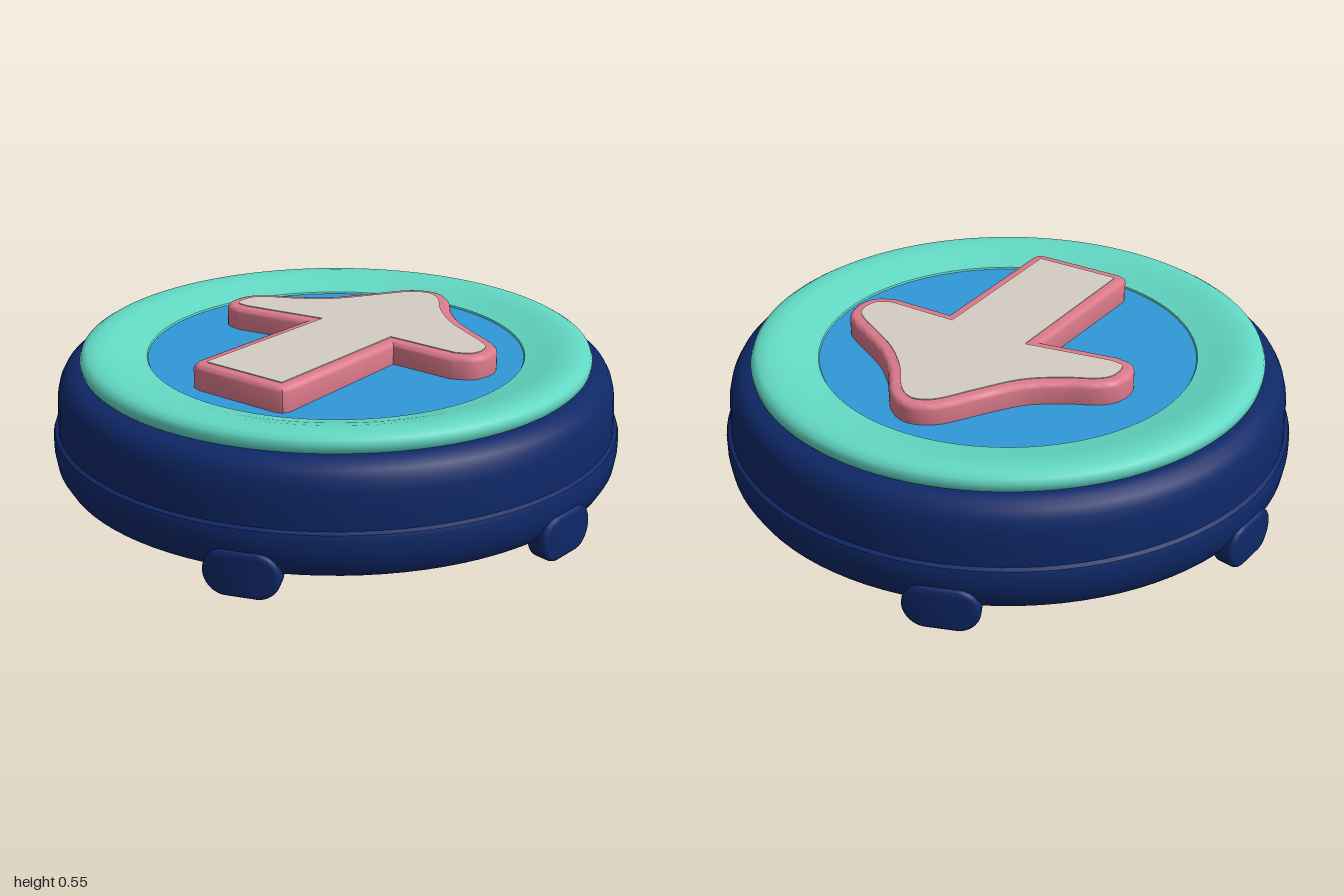
import * as THREE from 'three';
import { toCreasedNormals } from 'three/addons/utils/BufferGeometryUtils.js';

const material = (name, color) => {
  const m = new THREE.MeshStandardMaterial({ color });
  m.name = name;
  return m;
};
const V = (x, y) => new THREE.Vector2(x, y);

// Moves a closed outline inwards by d
function inset(points, d) {
  const n = points.length;
  const s = THREE.ShapeUtils.area(points) > 0 ? 1 : -1;
  return points.map((p, i) => {
    const a = p.clone().sub(points[(i + n - 1) % n]).normalize();
    const b = points[(i + 1) % n].clone().sub(p).normalize();
    const na = V(-a.y * s, a.x * s), nb = V(-b.y * s, b.x * s);
    const m = na.clone().add(nb).normalize();
    return p.clone().addScaledVector(m, d / Math.max(0.5, m.dot(na)));
  });
}

export function createModel() {
  const group = new THREE.Group();
  const navy = material('navy', 0x0e2868);
  const teal = material('teal', 0x62d9c4);
  const blue = material('blue', 0x3098d8);
  const pink = material('pink', 0xdc7a8b);
  const cream = material('cream', 0xd4cdc3);

  const add = (name, geometry, mat, parent = group) => {
    const mesh = new THREE.Mesh(geometry, mat);
    mesh.name = name;
    parent.add(mesh);
    return mesh;
  };
  const lathe = (profile) => toCreasedNormals(
    new THREE.LatheGeometry(profile.map(([r, y]) => V(r, y)), 96), 0.7);

  // Round base with a stepped lower flange and a rounded shoulder
  add('base', lathe([
    [0, 0.045], [0.5, 0.05], [0.86, 0.058], [0.92, 0.065], [0.96, 0.085], [0.98, 0.12],
    [0.988, 0.17], [0.988, 0.215], [0.983, 0.23], [0.97, 0.237],
    [0.968, 0.3], [0.964, 0.36], [0.955, 0.395], [0.94, 0.422], [0.918, 0.44], [0.89, 0.448], [0, 0.448],
  ]), navy);

  // Rounded ring around the face, sloping gently to the middle
  add('ring', lathe([
    [0.87, 0.44], [0.882, 0.455], [0.885, 0.475], [0.878, 0.492], [0.86, 0.503], [0.83, 0.507],
    [0.79, 0.504], [0.74, 0.492], [0.69, 0.476], [0.655, 0.468], [0.648, 0.45],
  ]), teal);

  // Face disc
  add('faceDisc', new THREE.CylinderGeometry(0.652, 0.652, 0.02, 96).translate(0, 0.452, 0), blue);

  // Arrow: straight shaft joined to a softly curved head (x, z)
  const curve = new THREE.SplineCurve([
    [-0.06, -0.41], [-0.05, -0.475], [0.0, -0.508], [0.08, -0.506], [0.14, -0.46],
    [0.2, -0.36], [0.28, -0.265], [0.4, -0.19], [0.53, -0.115], [0.58, -0.045], [0.58, 0.02],
    [0.535, 0.09], [0.44, 0.17], [0.355, 0.27], [0.3, 0.37], [0.245, 0.48], [0.2, 0.535],
    [0.13, 0.556], [0.06, 0.535], [0.02, 0.47],
  ].map(([x, z]) => V(x, -z)));
  const outline = [
    ...curve.getPoints(76),
    ...[[0.01, 0.24], [-0.54, 0.26], [-0.565, 0.25], [-0.575, 0.225],
      [-0.592, -0.09], [-0.583, -0.123], [-0.55, -0.136], [-0.002, -0.148]].map(([x, z]) => V(x, -z)),
  ];
  const arrow = new THREE.Group();
  arrow.name = 'arrow';
  arrow.rotation.z = -0.014;
  group.add(arrow);

  const body = new THREE.ExtrudeGeometry(new THREE.Shape(inset(outline, 0.018)), {
    depth: 0.082, bevelEnabled: true, bevelSize: 0.018, bevelThickness: 0.018, bevelSegments: 3,
  }).rotateX(-Math.PI / 2).translate(0, 0.44, 0);
  add('arrowBody', toCreasedNormals(body, 0.7), pink, arrow);

  const plate = new THREE.ExtrudeGeometry(new THREE.Shape(inset(outline, 0.04)), {
    depth: 0.006, bevelEnabled: false,
  }).rotateX(-Math.PI / 2).translate(0, 0.537, 0);
  add('arrowFace', plate, cream, arrow);

  // Four pill-shaped feet, bent around the flange
  const pill = new THREE.Shape();
  const r = 0.06, w = 0.052;
  pill.moveTo(-w, -r);
  pill.lineTo(w, -r);
  pill.absarc(w, 0, r, -Math.PI / 2, Math.PI / 2, false);
  pill.lineTo(-w, r);
  pill.absarc(-w, 0, r, Math.PI / 2, Math.PI * 1.5, false);
  const foot = new THREE.ExtrudeGeometry(pill, {
    depth: 0.05, curveSegments: 12, bevelEnabled: true, bevelSize: 0.017, bevelThickness: 0.014, bevelSegments: 3,
  });
  const pos = foot.attributes.position;
  for (let i = 0; i < pos.count; i++) {
    const a = pos.getX(i), radius = 0.936 + pos.getZ(i);
    pos.setXYZ(i, Math.sin(a) * radius, pos.getY(i) + 0.08, Math.cos(a) * radius);
  }
  const footGeometry = toCreasedNormals(foot, 0.7);
  [['frontFoot', -0.035, 1], ['backFoot', 0.03, -1], ['leftFoot', 0.92, -0.39], ['rightFoot', -0.92, 0.39]]
    .forEach(([name, x, z]) => {
      add(name, footGeometry, navy).rotation.y = Math.atan2(x, z);
    });

  return group;
}
